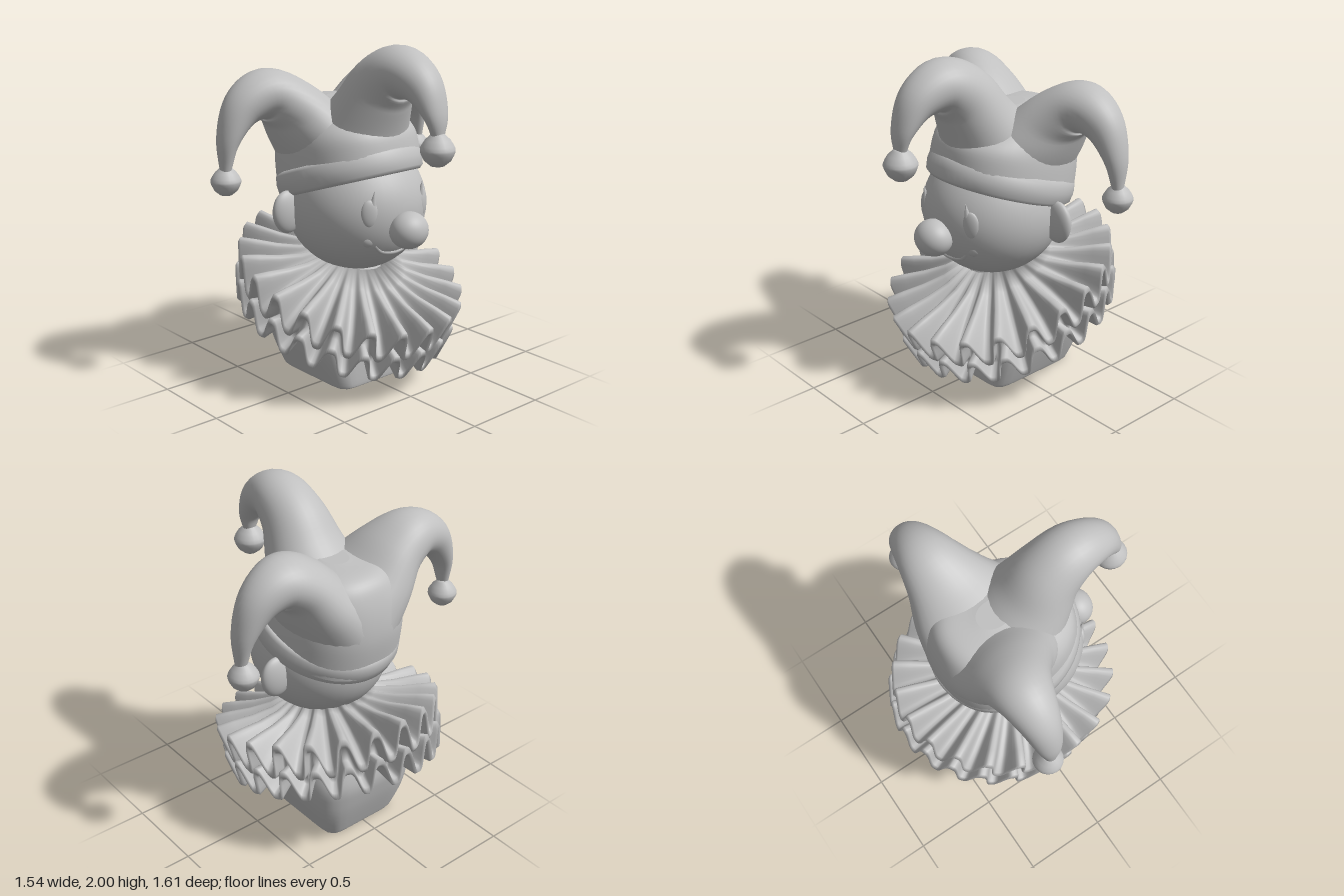
import * as THREE from 'three';

const V = (x, y, z) => new THREE.Vector3(x, y, z);
const TAU = Math.PI * 2;

// Skins a list of equal-sized rings; loop joins the last ring to the first, otherwise ends are capped.
function loft(rings, loop = false) {
  const n = rings[0].length, m = rings.length, pos = [], idx = [];
  rings.forEach(r => r.forEach(p => pos.push(p.x, p.y, p.z)));
  for (let i = 0; i < (loop ? m : m - 1); i++) {
    for (let j = 0; j < n; j++) {
      const a = i * n + j, b = i * n + (j + 1) % n, k = ((i + 1) % m) * n;
      const c = k + (j + 1) % n, d = k + j;
      idx.push(a, b, c, a, c, d);
    }
  }
  if (!loop) {
    for (const [ring, end] of [[rings[0], 0], [rings[m - 1], 1]]) {
      const base = pos.length / 3, mid = V(0, 0, 0);
      ring.forEach(p => { mid.add(p); pos.push(p.x, p.y, p.z); });
      mid.divideScalar(n);
      pos.push(mid.x, mid.y, mid.z);
      for (let j = 0; j < n; j++) {
        const a = base + j, b = base + (j + 1) % n;
        if (end) idx.push(base + n, a, b); else idx.push(base + n, b, a);
      }
    }
  }
  // Turn the faces outward by checking the signed volume
  let vol = 0;
  const at = i => V(pos[i * 3], pos[i * 3 + 1], pos[i * 3 + 2]);
  for (let i = 0; i < idx.length; i += 3) vol += at(idx[i]).dot(at(idx[i + 1]).cross(at(idx[i + 2])));
  if (vol < 0) idx.reverse();
  const g = new THREE.BufferGeometry();
  g.setAttribute('position', new THREE.Float32BufferAttribute(pos, 3));
  g.setIndex(idx);
  g.computeVertexNormals();
  return g;
}

// Smoothly interpolates rows of up to six numbers
function smoothRows(rows, steps) {
  const a = new THREE.CatmullRomCurve3(rows.map(r => V(r[0], r[1], r[2])), false, 'catmullrom');
  const b = new THREE.CatmullRomCurve3(rows.map(r => V(r[3], r[4] || 0, r[5] || 0)), false, 'catmullrom');
  return Array.from({ length: steps + 1 }, (_, i) => {
    const p = a.getPoint(i / steps), q = b.getPoint(i / steps);
    return [p.x, p.y, p.z, q.x, q.y, q.z];
  });
}

// Stacked superellipses; rows are [y, xMin, xMax, halfZ, slope, power]
function stack(rows, steps = 28, sides = 56) {
  return loft(smoothRows(rows, steps).map(([y, x0, x1, rz, slope, power]) =>
    Array.from({ length: sides }, (_, j) => {
      const t = (j + 0.5) / sides * TAU, c = Math.cos(t), s = Math.sin(t);
      const k = (Math.abs(c) ** power + Math.abs(s) ** power) ** (-1 / power);
      const x = (x0 + x1) / 2 + (x1 - x0) / 2 * c * k;
      return V(x, y + slope * x, rz * s * k);
    })));
}

// Curling hat horn in the plane of u and y; rows are [u, y, radiusInPlane, radiusAcross, offsetAcross]
function horn(rows, place, steps = 36, sides = 32) {
  const s = smoothRows(rows, steps);
  return loft(s.map(([u, y, ru, rw, w], i) => {
    const p = s[Math.max(i - 1, 0)], q = s[Math.min(i + 1, steps)];
    const len = Math.hypot(q[0] - p[0], q[1] - p[1]);
    const nu = -(q[1] - p[1]) / len, ny = (q[0] - p[0]) / len;
    return Array.from({ length: sides }, (_, j) => {
      const t = j / sides * TAU, c = Math.cos(t) * ru;
      return place(u + nu * c, y + ny * c, w + Math.sin(t) * rw);
    });
  }));
}

// Pleated collar: a closed cross-section swept around with d = 0 on fold crests and 1 in valleys
function ruffGeometry(pleats = 22, per = 18) {
  const rings = [];
  for (let i = 0; i < pleats * per; i++) {
    const a = i / (pleats * per) * TAU, c = Math.cos(a * pleats);
    const d = (1 - c * (1.5 - 0.5 * c * c)) / 2;
    const section = [
      [0.2, 0.255], [0.34, 0.21 - 0.025 * d], [0.48, 0.19 - 0.06 * d], [0.61, 0.185 - 0.12 * d],
      [0.71, 0.178 - 0.18 * d], [0.72, 0.15 - 0.18 * d], [0.70, 0.125 - 0.18 * d], [0.61, 0.09 - 0.15 * d],
      [0.60, 0.01 - 0.13 * d], [0.70, 0.01 - 0.16 * d], [0.71, -0.02 - 0.16 * d], [0.68, -0.045 - 0.15 * d],
      [0.55, -0.06 - 0.09 * d], [0.4, -0.08 - 0.04 * d], [0.2, -0.08],
    ];
    rings.push(section.map(([r, y]) => {
      const k = r * (1 - 0.05 * d * r / 0.7);
      return V(k * Math.cos(a), y, k * 0.89 * Math.sin(a));
    }));
  }
  return loft(rings, true);
}

export function createModel() {
  const model = new THREE.Group();
  const clay = new THREE.MeshStandardMaterial({ color: 0xc0c0c0 });
  clay.name = 'grey clay';
  const add = (name, geometry, x = 0, y = 0, z = 0) => {
    const m = new THREE.Mesh(geometry, clay);
    m.name = name;
    m.position.set(x, y, z);
    model.add(m);
    return m;
  };
  const ball = new THREE.SphereGeometry(1, 40, 28);

  // Bust with a squarish base, narrowing to the neck under the ruff
  add('bust', stack([
    [0, -0.39, 0.19, 0.24, 0, 9], [0.02, -0.405, 0.205, 0.26, 0, 8], [0.25, -0.485, 0.213, 0.345, 0, 4.5],
    [0.43, -0.51, 0.207, 0.37, 0, 3.2], [0.57, -0.43, 0.17, 0.31, -0.15, 2.6], [0.7, -0.22, 0.1, 0.16, -0.3, 2.2],
  ], 30));

  // Tilted ruff
  add('ruff', ruffGeometry(), -0.075, 0.51, 0).rotation.z = -0.31;

  // Head and face
  add('head', ball, 0.02, 1.06, 0).scale.set(0.415, 0.39, 0.4);
  add('nose', ball, 0.465, 0.985, 0).scale.set(0.105, 0.105, 0.115);
  const smile = new THREE.CatmullRomCurve3([
    V(0.35, 0.9, -0.15), V(0.348, 0.855, -0.1), V(0.354, 0.835, 0), V(0.348, 0.855, 0.1), V(0.35, 0.9, 0.15),
  ]);
  add('mouth', new THREE.TubeGeometry(smile, 32, 0.014, 8));
  for (const s of [-1, 1]) {
    const ear = add('ear', ball, -0.1, 1.045, s * 0.405);
    ear.scale.set(0.046, 0.125, 0.1);
    ear.rotation.x = s * 0.12;
    const eye = add('eye', ball, 0.362, 1.09, s * 0.2);
    eye.scale.set(0.022, 0.08, 0.05);
    eye.rotation.y = -s * 0.5;
    add('eyelash', new THREE.ConeGeometry(0.02, 0.09, 8), 0.375, 1.18, s * 0.18).rotation.z = -0.15;
    add('cheek', ball, 0.315, 0.94, s * 0.16).scale.set(0.05, 0.06, 0.07);
  }

  // Hat crown and brim band
  add('hatCrown', stack([
    [1.22, -0.45, 0.37, 0.385, 0.34, 2.3], [1.43, -0.485, 0.325, 0.37, 0.24, 2.3],
    [1.56, -0.455, 0.22, 0.32, 0.08, 2.3], [1.635, -0.38, 0.12, 0.23, 0, 2.2], [1.66, -0.2, 0, 0.08, 0, 2],
  ]));
  const bandProfile = [
    [0.38, -0.07], [0.42, -0.075], [0.443, -0.055], [0.45, 0], [0.443, 0.05], [0.42, 0.07], [0.38, 0.065],
  ].map(p => new THREE.Vector2(...p));
  const band = add('hatBand', new THREE.LatheGeometry(bandProfile, 56), -0.04, 1.232, 0);
  band.rotation.z = 0.33;
  band.scale.z = 0.92;

  // Three drooping horns that flare into one another at the crown
  add('frontHorn', horn([
    [0.01, 1.36, 0.31, 0.32], [0.14, 1.59, 0.22, 0.245], [0.25, 1.765, 0.182, 0.19], [0.395, 1.85, 0.148, 0.158],
    [0.555, 1.795, 0.107, 0.118], [0.655, 1.655, 0.054, 0.078], [0.677, 1.53, 0.028, 0.033],
  ], (u, y, w) => V(u, y, w)));
  const sideRows = [
    [0.06, 1.32, 0.27, 0.36, 0.11], [0.2, 1.48, 0.21, 0.32, 0.09], [0.325, 1.635, 0.163, 0.23, 0.045],
    [0.465, 1.705, 0.143, 0.165, 0.01], [0.61, 1.64, 0.11, 0.117, 0], [0.705, 1.48, 0.062, 0.077, 0],
    [0.73, 1.31, 0.03, 0.034, 0],
  ];
  for (const s of [-1, 1]) {
    add('sideHorn', horn(sideRows, (u, y, w) => V(-0.23 + w, y, s * u)));
  }

  // Ridged bells on the horn tips
  const bellProfile = [
    [0, -0.96], [0.4, -0.88], [0.74, -0.6], [0.92, -0.25], [0.98, -0.06], [0.98, 0.06], [0.9, 0.25],
    [0.7, 0.56], [0.42, 0.82], [0.3, 0.95], [0, 0.97],
  ].map(p => new THREE.Vector2(...p));
  const bell = new THREE.LatheGeometry(bellProfile, 20);
  add('frontBell', bell, 0.675, 1.475, 0).scale.setScalar(0.097);
  for (const s of [-1, 1]) add('sideBell', bell, -0.24, 1.25, s * 0.722).scale.setScalar(0.087);

  return model;
}
